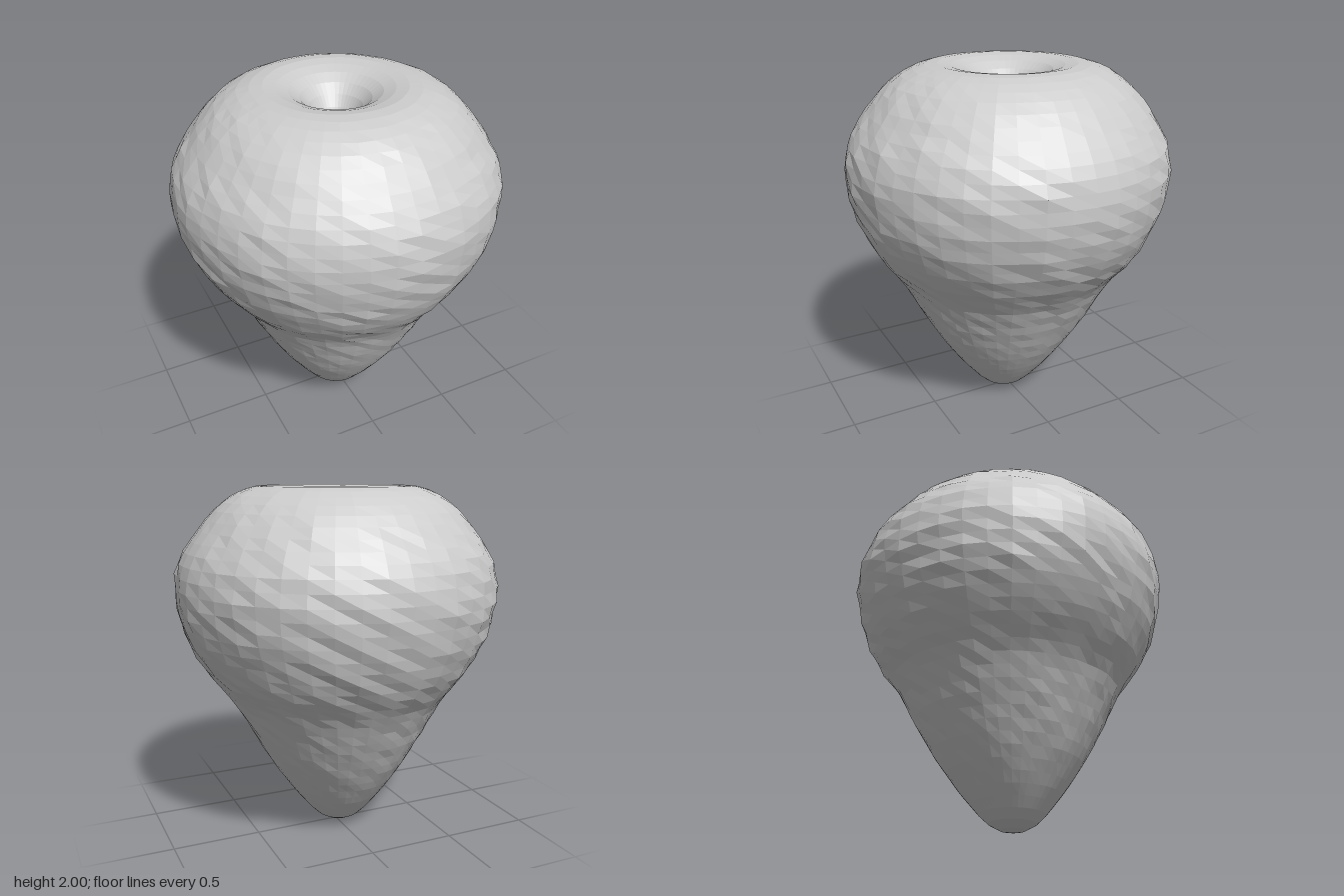
import * as THREE from 'three';

// Half outline from the blunt tip, over the shoulder, down into the stem dimple: [radius, height]
const OUTLINE = [
  [0, 0], [0.07, 0.015], [0.14, 0.06], [0.2, 0.13], [0.27, 0.22], [0.39, 0.4], [0.5, 0.6],
  [0.61, 0.8], [0.76, 1.0], [0.86, 1.2], [0.902, 1.42], [0.87, 1.6], [0.75, 1.78],
  [0.65, 1.89], [0.54, 1.96], [0.41, 1.995], [0.31, 1.985], [0.23, 1.955], [0.165, 1.905],
  [0.115, 1.84], [0.065, 1.74], [0.025, 1.67], [0, 1.65],
];

// Gentle bumps that depend only on position, so the seam stays closed
const bump = (x, y, z) =>
  Math.sin(x * 23 + y * 17) * Math.sin(z * 21 - y * 13) * Math.sin(y * 29 + x * 7 - z * 5);

function createFruitGeometry() {
  const curve = new THREE.CatmullRomCurve3(
    OUTLINE.map(([r, y]) => new THREE.Vector3(r, y, 0)), false, 'centripetal');
  const profile = curve.getSpacedPoints(46).map(
    (p) => new THREE.Vector2(Math.max(p.x, 0), Math.max(p.y, 0)));
  profile[0].x = profile[profile.length - 1].x = 0;
  const geometry = new THREE.LatheGeometry(profile, 44);

  const pos = geometry.attributes.position;
  for (let i = 0; i < pos.count; i++) {
    const x = pos.getX(i), y = pos.getY(i), z = pos.getZ(i);
    const r = Math.hypot(x, z);
    // Lower cone is slightly deeper front to back, and its tip leans a little
    const lower = THREE.MathUtils.smoothstep(1.3 - y, 0, 0.8);
    const tip = Math.max(0, 1 - y / 0.8);
    const swell = 1 + 0.014 * bump(x, y, z) * Math.min(1, r * 2);
    pos.setXYZ(i, x * swell - 0.02 * tip, y, z * swell * (1 + 0.06 * lower) + 0.015 * tip);
  }
  geometry.computeVertexNormals();
  return geometry;
}

export function createModel() {
  const group = new THREE.Group();
  group.name = 'fruit';
  const body = new THREE.Mesh(
    createFruitGeometry(),
    new THREE.MeshStandardMaterial({ color: 0xcccccc, flatShading: true }));
  body.name = 'fruitBody';
  group.add(body);
  return group;
}
